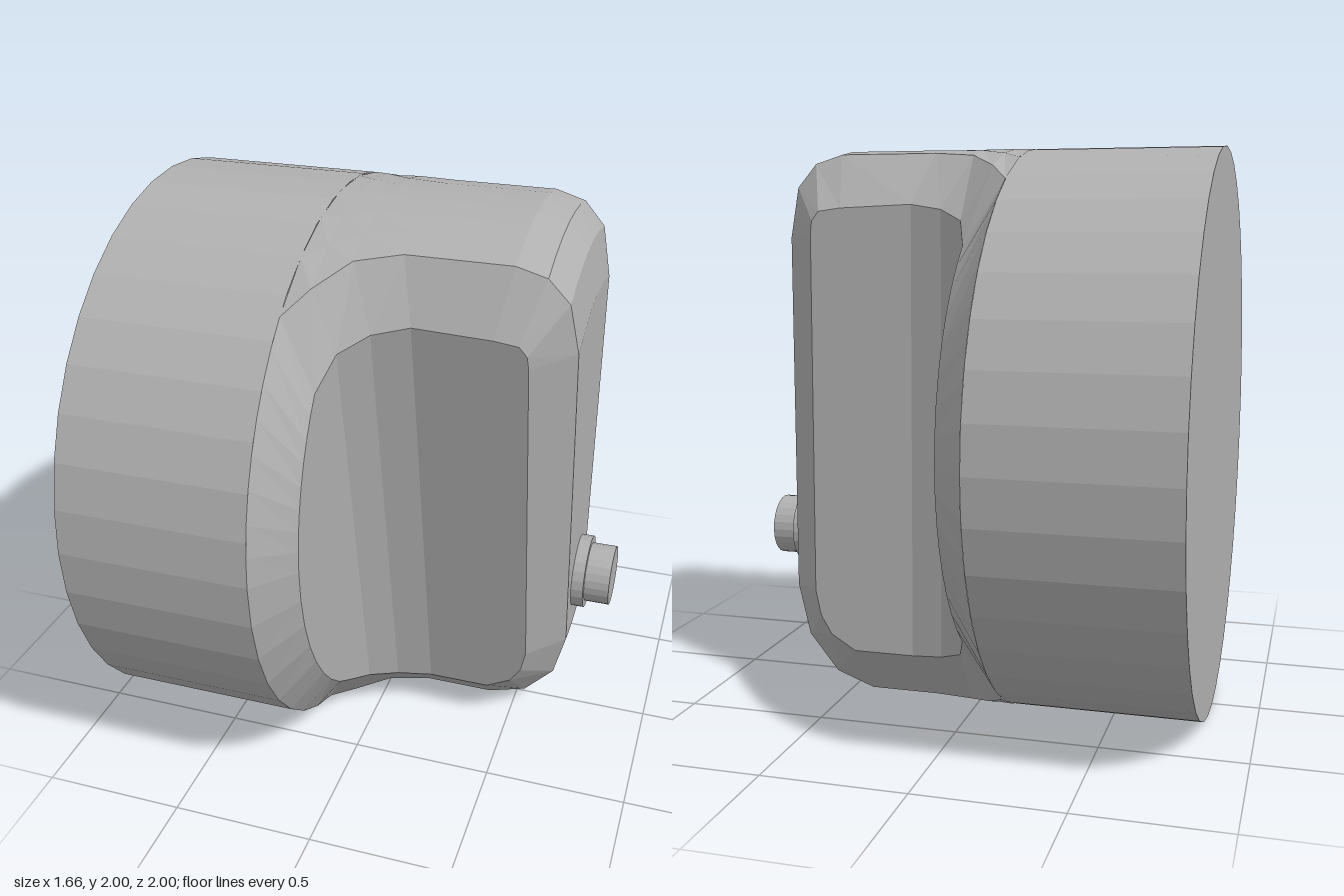
import * as THREE from 'three';

// Grip sections: [wall offset, x low, x high, radius low, radius high]
const INNER = [
  [0.22, -0.05, -0.05, 0.87, 0.87], [0.11, -0.01, -0.01, 0.87, 0.87],
  [0.04, 0.08, 0.08, 0.87, 0.87], [0, 0.2, 0.2, 0.87, 0.87],
  [0, 0.42, 0.46, 0.87, 0.86], [0, 0.51, 0.54, 0.82, 0.85],
  [0, 0.55, 0.565, 0.76, 0.82], [0, 0.57, 0.57, 0.68, 0.78],
];
const OUTER = [
  [0.14, -0.17, -0.17, 1, 1], [0.04, -0.1, -0.1, 1, 1],
  [-0.08, 0, 0, 1, 1], [-0.13, 0.15, 0.15, 1, 1],
  [-0.13, 0.4, 0.5, 1, 1], [-0.13, 0.54, 0.6, 0.95, 0.97],
  [-0.13, 0.65, 0.67, 0.82, 0.89], [-0.13, 0.695, 0.7, 0.64, 0.72],
];

// Slanted wall line of the grip on each side, as distance from the middle
const wall = (s, y) => (s > 0 ? 0.2 + 0.19 * (y - 0.15) : 0.368 - 0.016 * y);

// Point where a line parallel to the wall meets a circle; e = +1 upper end, -1 lower end
function endPoint(s, e, row) {
  const up = e > 0 ? 1 : 0;
  const r = row[3 + up];
  let y = 1 + e * r * 0.85, z = 0;
  for (let i = 0; i < 20; i++) {
    z = wall(s, y) + row[0];
    y = 1 + e * Math.sqrt(Math.max(0, r * r - z * z));
  }
  return new THREE.Vector3(row[1 + up], y, s * z);
}

// Collects flat faces, turning each one towards a hint direction
class Faces {
  constructor() { this.pos = []; }
  tri(a, b, c, hint) {
    const n = b.clone().sub(a).cross(c.clone().sub(a));
    if (n.length() < 1e-7) return;
    const list = n.dot(hint) < 0 ? [a, c, b] : [a, b, c];
    for (const p of list) this.pos.push(p.x, p.y, p.z);
  }
  quad(a, b, c, d, hint) {
    this.tri(a, b, c, hint);
    this.tri(a, c, d, hint);
  }
  mesh(name, material) {
    const g = new THREE.BufferGeometry();
    g.setAttribute('position', new THREE.Float32BufferAttribute(this.pos, 3));
    g.computeVertexNormals();
    const m = new THREE.Mesh(g, material);
    m.name = name;
    return m;
  }
}

// Rim points of one hollow: floor arc from its tip, then up the fillet and wall
function rim(s, e, rows, floorR) {
  const pts = rows.map((row) => endPoint(s, e, row));
  const foot = pts[0];
  const angle = Math.atan2(foot.y - 1, Math.abs(foot.z));
  const floor = [];
  for (let i = 0; i < 8; i++) {
    const a = (angle * i) / 8;
    floor.push(new THREE.Vector3(foot.x, 1 + floorR * Math.sin(a), s * floorR * Math.cos(a)));
  }
  return [...floor, ...pts];
}

export function createModel() {
  const grey = new THREE.MeshStandardMaterial({ color: 0xb0b0b0, flatShading: true, side: THREE.DoubleSide });
  grey.name = 'grey';
  const model = new THREE.Group();
  model.name = 'controlKnob';

  // Cylinder lying along x between two positions
  const disc = (name, r, x0, x1, y, z, sides, openEnded = false) => {
    const g = new THREE.CylinderGeometry(r, r, x1 - x0, sides, 1, openEnded);
    g.rotateZ(-Math.PI / 2);
    const m = new THREE.Mesh(g, grey);
    m.position.set((x0 + x1) / 2, y, z);
    m.name = name;
    model.add(m);
  };

  // Round base with a closed back
  disc('baseSkirt', 1, -0.83, -0.17, 1, 0, 40, true);
  const back = new THREE.Mesh(new THREE.CircleGeometry(1, 40), grey);
  back.rotation.y = -Math.PI / 2;
  back.position.set(-0.83, 1, 0);
  back.name = 'baseBack';
  model.add(back);

  // Hollows either side of the grip, with a chamfered rim
  const outer = {};
  for (const s of [1, -1]) {
    const hollow = new Faces(), chamfer = new Faces();
    const inn = {}, out = {};
    for (const e of [-1, 1]) {
      inn[e] = rim(s, e, INNER, 0.87);
      out[e] = rim(s, e, OUTER, 1);
      const hint = new THREE.Vector3(1, e * 0.5, s);
      for (let i = 0; i + 1 < inn[e].length; i++) {
        chamfer.quad(inn[e][i], inn[e][i + 1], out[e][i + 1], out[e][i], hint);
      }
    }
    const n = inn[1].length, steps = 6;
    const hint = new THREE.Vector3(1, 0, s);
    const at = (i, j) => inn[-1][i].clone().lerp(inn[1][i], j / steps);
    for (let i = 0; i + 1 < n; i++) {
      for (let j = 0; j < steps; j++) {
        hollow.quad(at(i, j), at(i + 1, j), at(i + 1, j + 1), at(i, j + 1), hint);
      }
    }
    // long bevel along the top edge of the wall
    chamfer.quad(inn[-1][n - 1], inn[1][n - 1], out[1][n - 1], out[-1][n - 1], hint);
    const side = s > 0 ? 'front' : 'back';
    model.add(hollow.mesh(side + 'Hollow', grey), chamfer.mesh(side + 'Chamfer', grey));
    outer[s] = out;
  }

  // Rounded ends of the grip, following the base cylinder
  const cols = 6, first = 8;
  const ends = new Faces(), face = new Faces();
  const edge = {};
  for (const e of [-1, 1]) {
    const rows = OUTER.map((row, k) => {
      const a = outer[-1][e][first + k], b = outer[1][e][first + k];
      const r = row[e > 0 ? 4 : 3];
      return Array.from({ length: cols + 1 }, (_, j) => {
        const z = a.z + ((b.z - a.z) * j) / cols;
        return new THREE.Vector3(a.x, 1 + e * Math.sqrt(Math.max(0, r * r - z * z)), z);
      });
    });
    const hint = new THREE.Vector3(0.5, e, 0);
    for (let k = 0; k + 1 < rows.length; k++) {
      for (let j = 0; j < cols; j++) {
        ends.quad(rows[k][j], rows[k][j + 1], rows[k + 1][j + 1], rows[k + 1][j], hint);
      }
    }
    edge[e] = rows[rows.length - 1];
  }
  // Flat face of the grip
  for (let j = 0; j < cols; j++) {
    face.quad(edge[-1][j], edge[-1][j + 1], edge[1][j + 1], edge[1][j], new THREE.Vector3(1, 0, 0));
  }
  model.add(ends.mesh('gripEnds', grey), face.mesh('gripFace', grey));

  // Indicator button near the lower end of the face
  disc('buttonCollar', 0.135, 0.67, 0.74, 0.585, -0.04, 24);
  disc('buttonPin', 0.11, 0.72, 0.83, 0.585, -0.04, 24);
  return model;
}
